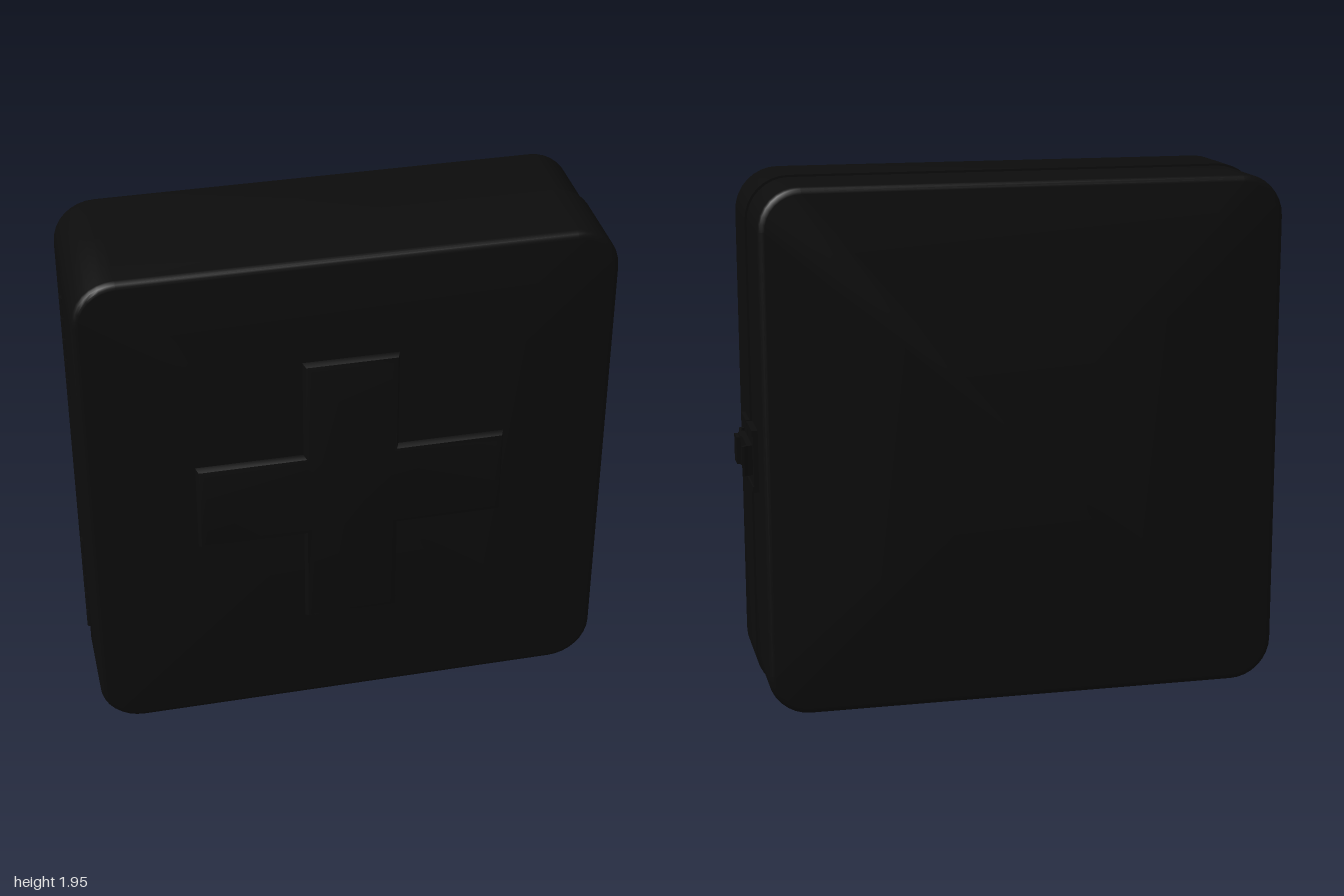
import * as THREE from 'three';
import { toCreasedNormals } from 'three/addons/utils/BufferGeometryUtils.js';

const dark = new THREE.MeshStandardMaterial({ color: 0x0c0c0c });
const CX = -0.02, CY = 0.9725, SEAM = -0.02;

function add(parent, name, geometry, x = 0, y = 0, z = 0) {
  const mesh = new THREE.Mesh(geometry, dark);
  mesh.name = name;
  mesh.position.set(x, y, z);
  parent.add(mesh);
  return mesh;
}

// Outline of a rounded rectangle, counter-clockwise
function outline(w, h, r, steps = 8) {
  const pts = [];
  [[1, 1], [-1, 1], [-1, -1], [1, -1]].forEach(([sx, sy], q) => {
    for (let i = 0; i <= steps; i++) {
      const a = (q + i / steps) * Math.PI / 2;
      pts.push([sx * (w / 2 - r) + r * Math.cos(a), sy * (h / 2 - r) + r * Math.sin(a)]);
    }
  });
  return pts;
}

// Half shell: rounded-rectangle rings given as [inset, z], closed at both ends
function shell(w, h, r, rings) {
  const pos = [], idx = [];
  for (const [inset, z] of rings) {
    for (const [x, y] of outline(w - 2 * inset, h - 2 * inset, r - inset)) pos.push(x, y, z);
  }
  const n = pos.length / 3 / rings.length, last = (rings.length - 1) * n;
  pos.push(0, 0, rings[0][1], 0, 0, rings[rings.length - 1][1]);
  const c0 = rings.length * n, c1 = c0 + 1;
  for (let i = 0; i < n; i++) {
    const j = (i + 1) % n;
    for (let k = 0; k < last; k += n) idx.push(k + i, k + j, k + n + j, k + i, k + n + j, k + n + i);
    idx.push(c0, j, i, c1, last + i, last + j);
  }
  const g = new THREE.BufferGeometry();
  g.setAttribute('position', new THREE.Float32BufferAttribute(pos, 3));
  g.setIndex(idx);
  return toCreasedNormals(g, 0.6);
}

// Straight wall followed by a rounded outer edge
function edgeRings(depth, bevel) {
  const rings = [[0, 0]];
  for (let i = 0; i <= 4; i++) {
    const a = i / 4 * Math.PI / 2;
    rings.push([bevel * (1 - Math.cos(a)), depth - bevel * (1 - Math.sin(a))]);
  }
  return rings;
}

export function createModel() {
  const group = new THREE.Group();
  group.name = 'firstAidCase';

  // Case halves; the rear one is slightly smaller
  add(group, 'frontShell', shell(1.94, 1.945, 0.16, edgeRings(0.32, 0.025)), CX, CY, SEAM);
  add(group, 'rearShell', shell(1.925, 1.93, 0.155, edgeRings(0.31, 0.025)), CX, CY, SEAM)
    .rotation.y = Math.PI;

  // Raised cross with sloped edges
  const a = 0.145, b = 0.54;
  const cross = new THREE.Shape([
    [a, a], [a, b], [-a, b], [-a, a], [-b, a], [-b, -a],
    [-a, -a], [-a, -b], [a, -b], [a, -a], [b, -a], [b, a],
  ].map(([x, y]) => new THREE.Vector2(x, y)));
  const crossGeo = new THREE.ExtrudeGeometry(cross, {
    depth: 0.02, bevelEnabled: true, bevelSize: 0.03, bevelThickness: 0.025, bevelSegments: 2,
  });
  add(group, 'cross', toCreasedNormals(crossGeo, 0.6), CX, CY, 0.285);

  // Two hinges of separate knuckles on the side opposite the latch
  for (const y0 of [0.435, 1.51]) {
    const hinge = new THREE.Group();
    hinge.name = 'hinge';
    hinge.position.set(-0.986, y0, SEAM - 0.005);
    for (let i = -2; i <= 2; i++) {
      add(hinge, 'knuckle', new THREE.CylinderGeometry(0.014, 0.014, 0.08, 10), 0, i * 0.086, 0);
    }
    add(hinge, 'pin', new THREE.CylinderGeometry(0.008, 0.008, 0.42, 8));
    group.add(hinge);
  }

  // Latch: framed mounting plates on both halves
  const latch = new THREE.Group();
  latch.name = 'latch';
  latch.position.set(0.945, 0.935, 0);
  group.add(latch);
  for (const [z0, z1] of [[-0.19, -0.03], [-0.015, 0.13]]) {
    const d = z1 - z0, z = (z0 + z1) / 2;
    add(latch, 'plate', new THREE.BoxGeometry(0.03, 0.19, d), 0, 0, z);
    for (const s of [-1, 1]) {
      add(latch, 'plateRim', new THREE.BoxGeometry(0.04, 0.022, d), 0, s * 0.104, z);
    }
  }

  // Lever with a curled pull end, drawn in (z, x) and extruded upward
  const lever = new THREE.Shape();
  lever.moveTo(0.08, 0.012);
  lever.lineTo(0.08, 0.03);
  lever.lineTo(0.055, 0.042);
  lever.lineTo(0, 0.042);
  lever.lineTo(-0.025, 0.034);
  lever.lineTo(-0.15, 0.036);
  lever.quadraticCurveTo(-0.158, 0.055, -0.178, 0.055);
  lever.lineTo(-0.178, 0.046);
  lever.quadraticCurveTo(-0.166, 0.044, -0.164, 0.012);
  lever.closePath();
  const leverGeo = new THREE.ExtrudeGeometry(lever, { depth: 0.11, bevelEnabled: false });
  leverGeo.rotateX(-Math.PI / 2).rotateY(-Math.PI / 2);
  // After the turns: shape x runs along z, shape y runs along x
  leverGeo.translate(0, -0.055, 0);
  add(latch, 'lever', leverGeo);

  // Raised grip across the seam and the pivot pin
  add(latch, 'grip', new THREE.BoxGeometry(0.02, 0.1, 0.075), 0.045, 0, 0.03);
  add(latch, 'pivotPin', new THREE.CylinderGeometry(0.01, 0.01, 0.13, 10), 0.025, 0, 0.085);

  return group;
}
